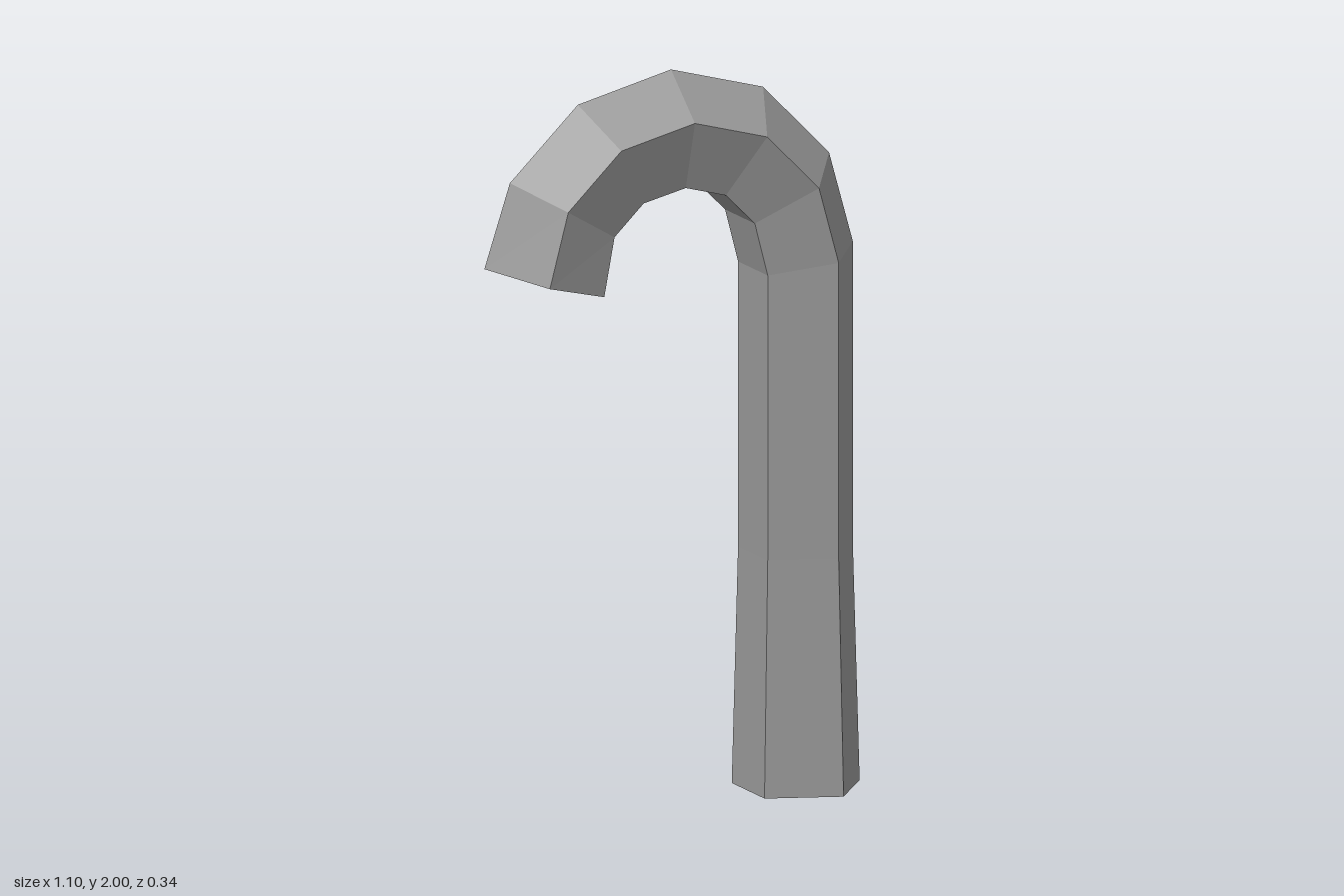
import * as THREE from 'three';

const SIDES = 5;
const COS_IN = Math.cos(Math.PI / SIDES); // inner flat distance of a unit pentagon

// Cross-sections along the cane: outer ridge (x, y), inner flat (x, y), radius in z
const SECTIONS = [
  [0.552, 0, 0.224, 0, 0.181],
  [0.532, 0.65, 0.238, 0.65, 0.164],
  [0.532, 1.48, 0.238, 1.432, 0.164],
  [0.462, 1.73, 0.2, 1.578, 0.164],
  [0.268, 1.928, 0.115, 1.663, 0.164],
  [-0.003, 2, -0.003, 1.694, 0.164],
  [-0.277, 1.928, -0.127, 1.663, 0.164],
  [-0.477, 1.731, -0.213, 1.578, 0.165],
  [-0.552, 1.502, -0.246, 1.418, 0.176],
];

// Pentagon with one corner on the outer ridge
function ring([ox, oy, ix, iy, r]) {
  return Array.from({ length: SIDES }, (_, k) => {
    const a = (k / SIDES) * Math.PI * 2;
    const t = (1 - Math.cos(a)) / (1 + COS_IN);
    return [ox + (ix - ox) * t, oy + (iy - oy) * t, r * Math.sin(a)];
  });
}

function caneGeometry() {
  const rings = SECTIONS.map(ring);
  const pos = [];
  const tri = (a, b, c) => pos.push(...a, ...b, ...c);

  // side walls
  for (let i = 0; i < rings.length - 1; i++) {
    for (let k = 0; k < SIDES; k++) {
      const n = (k + 1) % SIDES;
      const a = rings[i][k], b = rings[i][n], c = rings[i + 1][k], d = rings[i + 1][n];
      tri(a, c, b);
      tri(b, c, d);
    }
  }
  // end caps
  const first = rings[0], last = rings[rings.length - 1];
  for (let k = 1; k < SIDES - 1; k++) {
    tri(first[0], first[k], first[k + 1]);
    tri(last[0], last[k + 1], last[k]);
  }

  const geometry = new THREE.BufferGeometry();
  geometry.setAttribute('position', new THREE.Float32BufferAttribute(pos, 3));
  geometry.computeVertexNormals();
  return geometry;
}

export function createModel() {
  const group = new THREE.Group();
  group.name = 'candyCane';
  const material = new THREE.MeshStandardMaterial({ color: 0x999999, flatShading: true });
  const cane = new THREE.Mesh(caneGeometry(), material);
  cane.name = 'cane';
  group.add(cane);
  return group;
}
